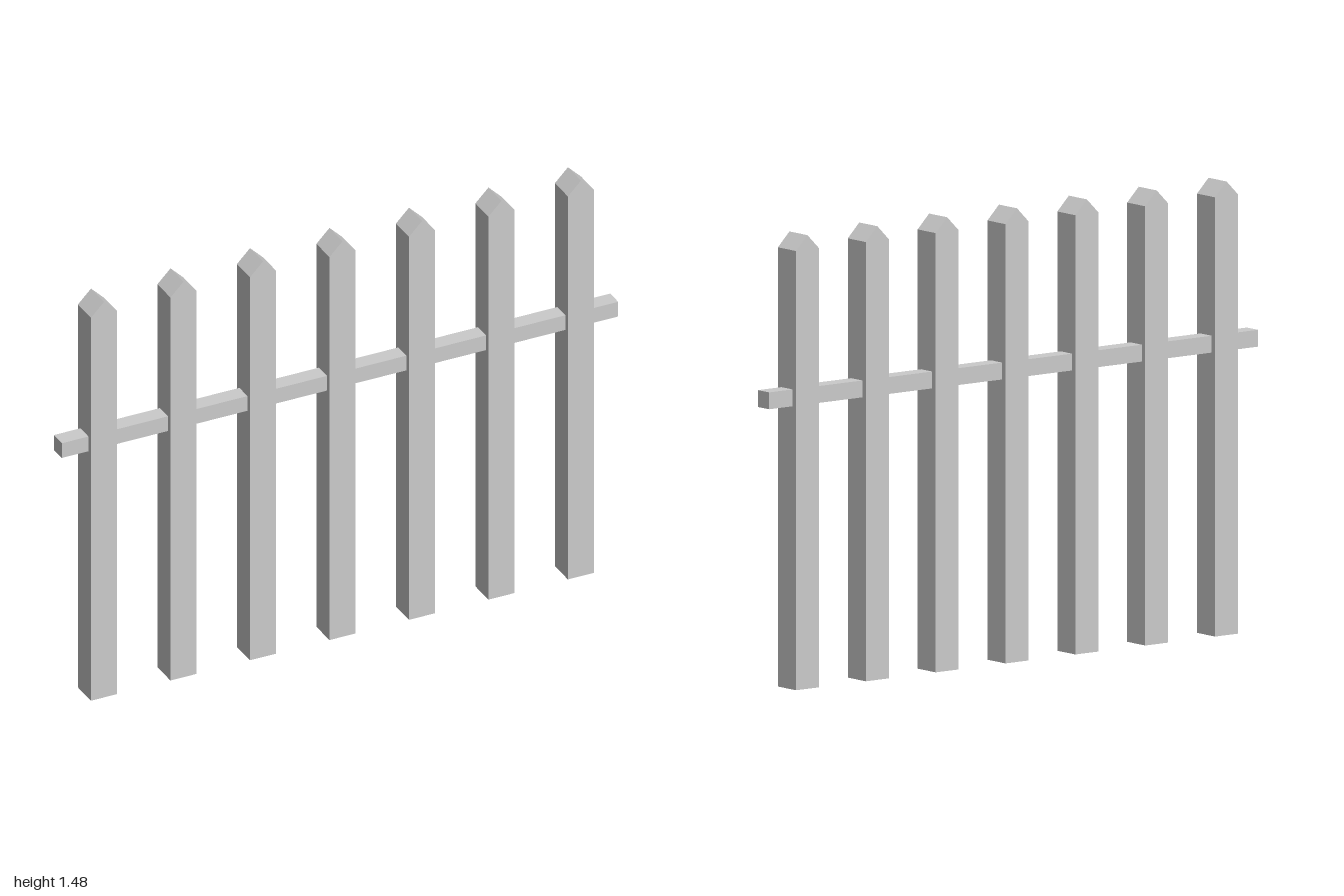
import * as THREE from 'three';

export function createModel() {
  const fence = new THREE.Group();
  fence.name = 'picketFence';
  const material = new THREE.MeshStandardMaterial({ color: 0xcccccc, flatShading: true });

  const count = 7, spacing = 2 / count;
  const half = 0.047, depth = 0.094, shoulder = 1.432, peak = 1.479;

  // Picket: square post with a gabled top, extruded front to back
  const outline = new THREE.Shape([
    new THREE.Vector2(-half, 0),
    new THREE.Vector2(half, 0),
    new THREE.Vector2(half, shoulder),
    new THREE.Vector2(0, peak),
    new THREE.Vector2(-half, shoulder),
  ]);
  const picketGeometry = new THREE.ExtrudeGeometry(outline, { depth, bevelEnabled: false });
  picketGeometry.translate(0, 0, -depth / 2);

  for (let i = 0; i < count; i++) {
    const picket = new THREE.Mesh(picketGeometry, material);
    picket.name = `picket${i + 1}`;
    picket.position.x = (i - (count - 1) / 2) * spacing;
    fence.add(picket);
  }

  // Single rail running through all the pickets
  const rail = new THREE.Mesh(new THREE.BoxGeometry(2, 0.055, 0.058), material);
  rail.name = 'rail';
  rail.position.y = 0.951;
  fence.add(rail);

  return fence;
}
